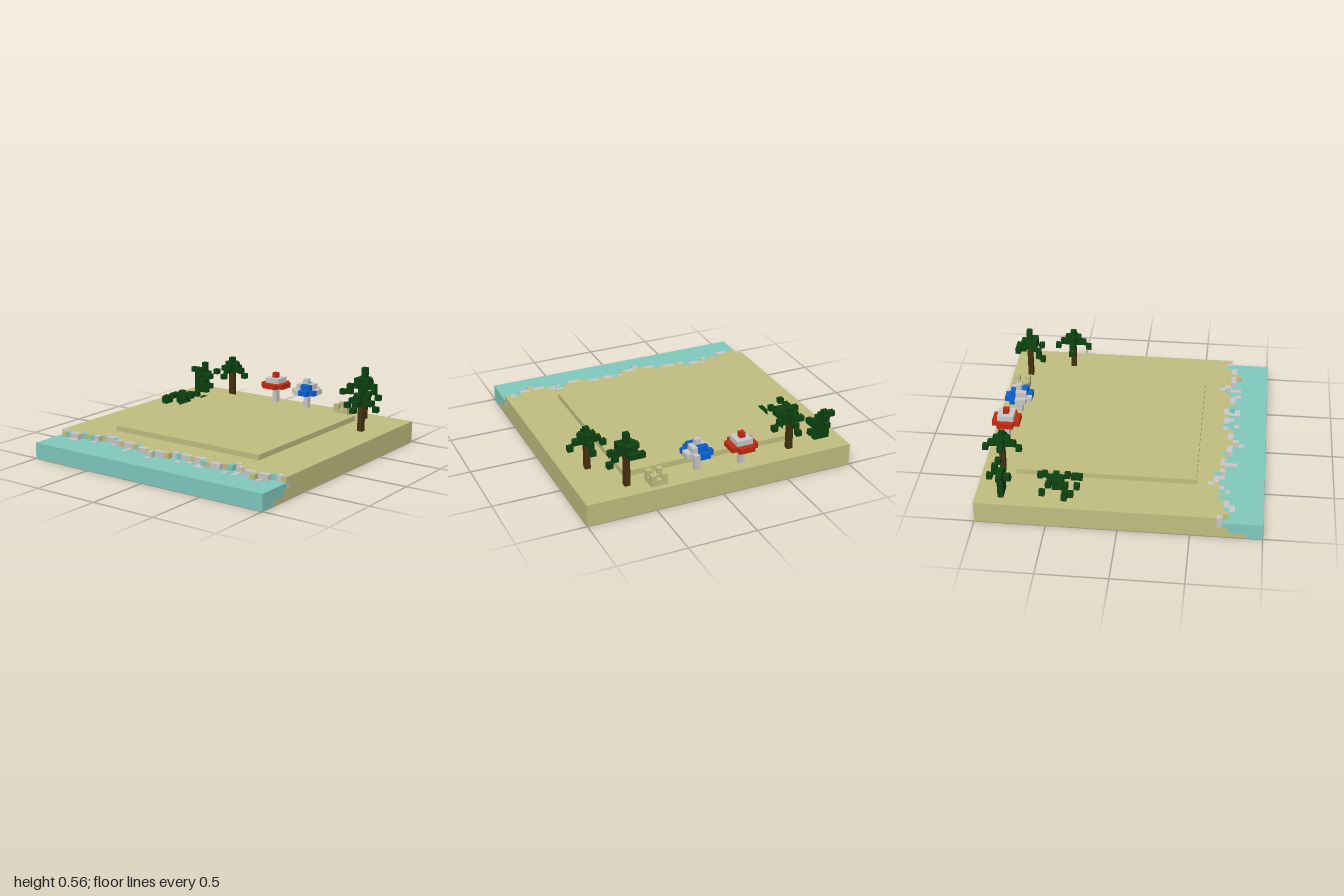
import * as THREE from 'three';
import { mergeGeometries } from 'three/addons/utils/BufferGeometryUtils.js';

const U = 0.04; // size of one cube

function makeMaterial(name, color) {
  const m = new THREE.MeshStandardMaterial({ color });
  m.name = name;
  return m;
}

// One mesh from boxes [x, y, z, width, height, depth], counted in cubes from the low corner
function blocks(parent, name, material, list) {
  const geos = list.map(([x, y, z, w = 1, h = 1, d = 1]) =>
    new THREE.BoxGeometry(w * U, h * U, d * U)
      .translate((x + w / 2) * U, (y + h / 2) * U, (z + d / 2) * U));
  const mesh = new THREE.Mesh(mergeGeometries(geos), material);
  mesh.name = name;
  parent.add(mesh);
}

export function createModel() {
  const sand = makeMaterial('sand', 0xc1bf80);
  const water = makeMaterial('water', 0x80cabf);
  const foam = makeMaterial('foam white', 0xc8c8c8);
  const leaf = makeMaterial('leaf green', 0x0d4210);
  const bark = makeMaterial('bark brown', 0x46310f);
  const red = makeMaterial('red', 0xc22b10);
  const blue = makeMaterial('blue', 0x0c62d0);

  const root = new THREE.Group();
  root.name = 'beach';
  const group = (name) => {
    const g = new THREE.Group();
    g.name = name;
    root.add(g);
    return g;
  };

  // Ground: full-height beach, raised court, stepped sea bed with water above it
  const ground = group('ground');
  const sandList = [[-25, 0, -25, 50, 4, 40]];
  const waterList = [];
  const foamList = [];
  for (const [x, w, ends] of [[-25, 1, [22, 19, 17]], [-24, 48, [24, 19, 17]], [24, 1, [22, 19, 17]]]) {
    ends.forEach((end, y) => {
      const edgeFoam = w === 1 && y === 2 ? 1 : 0;
      sandList.push([x, y, 15, w, 1, end - 15]);
      if (edgeFoam) foamList.push([x, y, end]);
      waterList.push([x, y, end + edgeFoam, w, 1, 25 - end - edgeFoam]);
    });
  }

  // Shoreline: outer edge (10 + digit, 0 = 20) and colour of the last cube per column
  const edge = '89999888877778888889990999888888899998878899099888';
  const tint = 'GSTGGTSTGSGGTGSGGSTGGSGGGSGTGGSGGTSGGSTGGSGGSGGTGS';
  const tintLists = { G: foamList, S: sandList, T: waterList };
  for (let c = 0; c < 50; c++) {
    const outer = edge[c] === '0' ? 20 : 10 + Number(edge[c]);
    sandList.push([c - 25, 3, 15, 1, 1, outer - 16]);
    tintLists[tint[c]].push([c - 25, 3, outer - 1]);
  }
  blocks(ground, 'beachSand', sand, sandList);
  blocks(ground, 'sea', water, waterList);
  blocks(ground, 'shoreFoam', foam, foamList);
  blocks(ground, 'raisedCourt', sand, [[-16, 4, -19, 32, 1, 32]]);

  // Thin foam flecks lying on the water and on the wet sand
  const flecks = [[-21, 19], [-22, 19], [-13, 17], [-9, 18], [-9, 19], [-3, 20], [3, 19], [7, 18], [7, 19],
    [8, 19], [13, 19], [15, 18], [15, 19], [20, 19], [-17, 18], [5, 18]];
  blocks(ground, 'foamFlecks', foam, [
    ...flecks.map(([x, z]) => [x, 3, z, 1, 0.1, 1]),
    [-16, 4, 15, 1, 0.1, 1], [14, 4, 16, 1, 0.1, 1],
  ]);

  // Cross-shaped palms; reach gives the frond length to +x, -x, +z, -z
  const dirs = [[1, 0], [-1, 0], [0, 1], [0, -1]];
  function palm(name, x, z, reach) {
    const g = group(name);
    blocks(g, 'trunk', bark, [[x, 4, z, 1, 5, 1]]);
    const leaves = [[x, 9, z, 1, 3, 1]];
    dirs.forEach(([dx, dz], k) => {
      for (let d = 1; d <= reach[k]; d++) {
        leaves.push([x + dx * d, d === 3 ? 8 : 9, z + dz * d, 1, d === 1 ? 2 : 1, 1]);
      }
    });
    blocks(g, 'fronds', leaf, leaves);
  }
  palm('backPalm', -15, -22, [3, 2, 3, 3]);
  palm('sidePalm', 20, -14, [3, 3, 3, 3]);

  // Tall palm with diagonal fronds
  const tall = group('tallPalm');
  blocks(tall, 'trunk', bark, [[16, 4, -22, 1, 6, 1]]);
  blocks(tall, 'fronds', leaf, [
    [16, 10, -22, 1, 4, 1], [15, 10, -23, 1, 2, 1], [16, 10, -23, 1, 2, 1], [15, 11, -22], [17, 10, -22, 1, 2, 1],
    [14, 10, -24], [15, 10, -24], [16, 10, -24], [18, 10, -22], [18, 9, -22], [19, 8, -22],
    [16, 11, -21], [15, 10, -21, 1, 2, 1], [17, 10, -21, 1, 2, 1], [18, 9, -20], [14, 9, -20, 1, 2, 1], [13, 9, -19],
  ]);

  // Leafy shrubs
  blocks(group('tallShrub'), 'leaves', leaf, [
    [-23, 4, -21, 2, 4, 1], [-21, 4, -21, 1, 3, 1], [-22, 8, -21], [-22, 8, -22, 1, 2, 1], [-22, 7, -23],
    [-24, 8, -21], [-23, 8, -21], [-21, 7, -21], [-20, 7, -21], [-19, 8, -22],
    [-22, 7, -20], [-21, 6, -20], [-20, 5, -21],
  ]);
  const lowLeaves = [[-22, -14], [-21, -13], [-17, -15], [-18, -14], [-18, -12], [-21, -10], [-22, -10],
    [-23, -10], [-22, -9], [-21, -8], [-18, -10], [-17, -9], [-17, -8]];
  blocks(group('lowShrub'), 'leaves', leaf, [
    [-20, 4, -12, 2, 2, 2], [-19, 5, -13], [-21, 5, -11],
    ...lowLeaves.map(([x, z]) => [x, x === -18 || x === -21 ? 5 : 4, z]),
  ]);

  // Stepped parasols; paint picks the material from the offset to the pole
  function parasol(name, x, z, paint) {
    const g = group(name);
    blocks(g, 'pole', foam, [[x, 4, z, 1, 5, 1]]);
    const lists = new Map();
    for (let r = 0; r <= 2; r++) {
      for (let dx = -r; dx <= r; dx++) {
        for (let dz = -r; dz <= r; dz++) {
          const ax = Math.abs(dx), az = Math.abs(dz);
          if (Math.max(ax, az) !== r || (r === 2 && ax + az === 4)) continue;
          const m = paint(r, dx, dz);
          if (!lists.has(m)) lists.set(m, []);
          lists.get(m).push([x + dx, 9 - r, z + dz]);
        }
      }
    }
    lists.forEach((list, m) => blocks(g, 'canopy ' + m.name, m, list));
  }
  parasol('redParasol', -5, -23, (r) => (r === 1 ? foam : red));
  parasol('blueParasol', 3, -22, (r, dx, dz) =>
    ((dx >= 0 && dz >= 1) || (dx <= 0 && dz <= -1) ? blue : foam));

  // Sandcastle: low walls with four corner towers
  const castle = [];
  for (let dx = -1; dx <= 1; dx++) {
    for (let dz = -1; dz <= 1; dz++) {
      if (dx || dz) castle.push([11 + dx, 4, -23 + dz, 1, dx && dz ? 2 : 1, 1]);
    }
  }
  blocks(group('sandcastle'), 'walls', sand, castle);

  return root;
}
